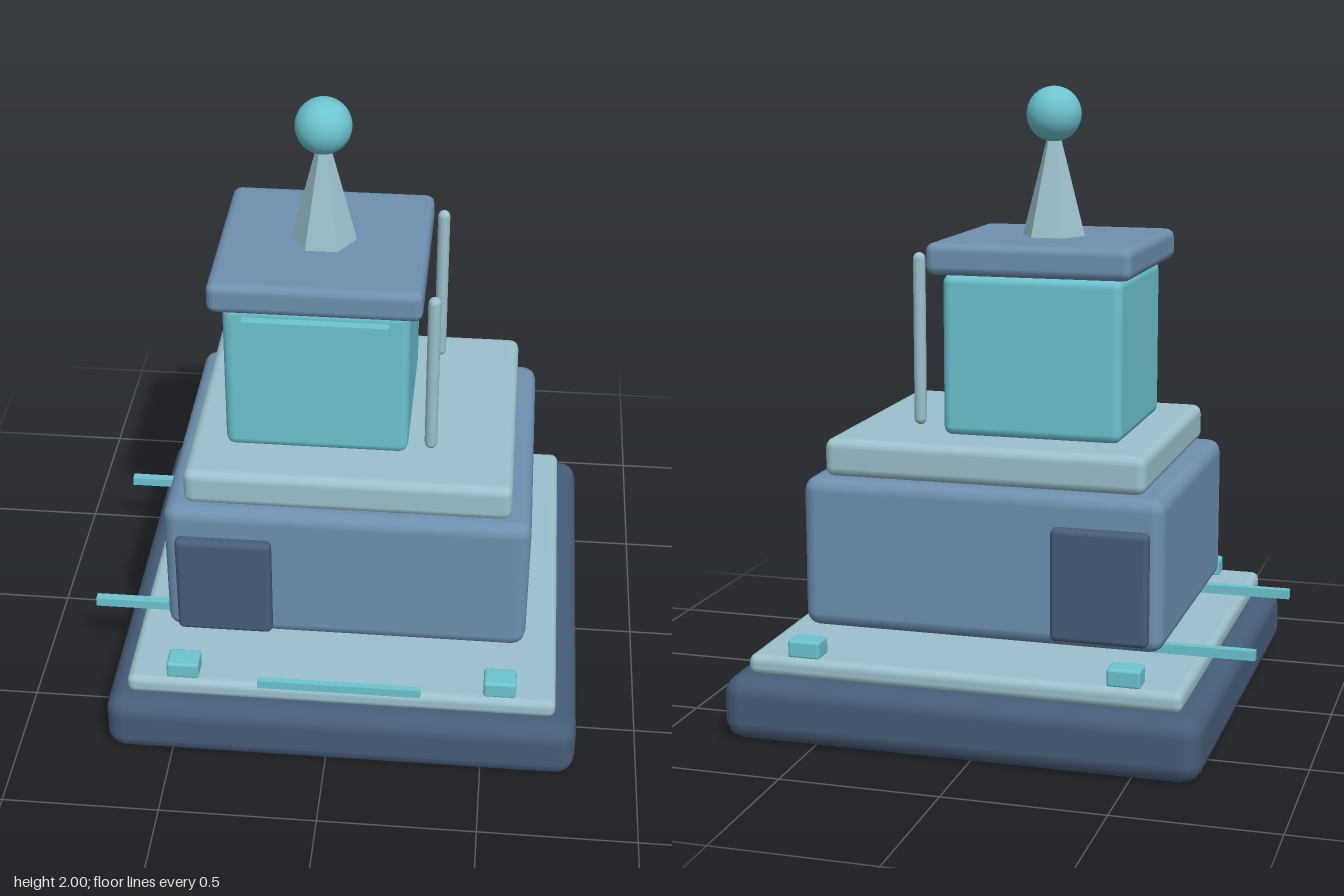
import * as THREE from 'three';
import { RoundedBoxGeometry } from 'three/addons/geometries/RoundedBoxGeometry.js';

const material = (name, color) => {
  const m = new THREE.MeshStandardMaterial({ color });
  m.name = name;
  return m;
};

export function createModel() {
  const model = new THREE.Group();
  model.name = 'tower';

  const navy = material('dark navy', 0x475d78);
  const slate = material('slate blue', 0x6e90b0);
  const pale = material('pale blue', 0x9cc1cd);
  const teal = material('teal', 0x6cc4d0);

  const add = (name, geometry, mat, x, y, z) => {
    const mesh = new THREE.Mesh(geometry, mat);
    mesh.name = name;
    mesh.position.set(x, y, z);
    model.add(mesh);
    return mesh;
  };

  // Box given by its extents on each axis; a zero radius gives sharp edges
  const block = (name, mat, [x0, x1], [y0, y1], [z0, z1], radius = 0) => {
    const size = [x1 - x0, y1 - y0, z1 - z0];
    const geometry = radius
      ? new RoundedBoxGeometry(...size, 2, radius)
      : new THREE.BoxGeometry(...size);
    return add(name, geometry, mat, (x0 + x1) / 2, (y0 + y1) / 2, (z0 + z1) / 2);
  };

  // Stacked tiers, from the ground up
  block('base', navy, [-0.713, 0.8], [0, 0.205], [-0.753, 0.753], 0.062);
  block('deck', pale, [-0.645, 0.73], [0.2, 0.265], [-0.69, 0.69], 0.025);
  block('body', slate, [-0.54, 0.625], [0.305, 0.79], [-0.482, 0.482], 0.045);
  block('ledge', pale, [-0.475, 0.56], [0.79, 0.912], [-0.45, 0.45], 0.03);
  block('cabin', teal, [-0.358, 0.222], [0.908, 1.424], [-0.282, 0.282], 0.03);
  block('roof', slate, [-0.398, 0.262], [1.424, 1.525], [-0.33, 0.33], 0.028);

  // Trim bars
  block('deckBar', teal, [-0.215, 0.302], [0.29, 0.319], [0.706, 0.727]);
  block('cabinBar', teal, [-0.294, 0.16], [1.36, 1.392], [0.28, 0.312]);

  // Parts mirrored front and back
  for (const side of [1, -1]) {
    const span = (a, b) => (side > 0 ? [a, b] : [-b, -a]);
    block('sidePanel', navy, [-0.5, -0.193], [0.333, 0.69], span(0.44, 0.515), 0.018);
    block('rod', teal, [-0.805, -0.45], [0.276, 0.306], span(0.328, 0.357));
    for (const x of [-0.464, 0.551]) {
      block('cornerBlock', teal, [x - 0.052, x + 0.052], [0.26, 0.318], span(0.592, 0.672), 0.01);
    }
    add('post', new THREE.CapsuleGeometry(0.02, 0.51, 4, 12), pale, 0.295, 1.215, side * 0.275);
  }

  // Six-sided spire with a ball on top
  const spire = new THREE.ConeGeometry(0.103, 0.4, 6).toNonIndexed();
  spire.computeVertexNormals();
  add('spire', spire, pale, -0.068, 1.725, 0).rotation.y = Math.PI / 6;
  add('ball', new THREE.SphereGeometry(0.088, 32, 20), teal, -0.068, 1.912, 0);

  // Centre on x with the rods included
  return model;
}
